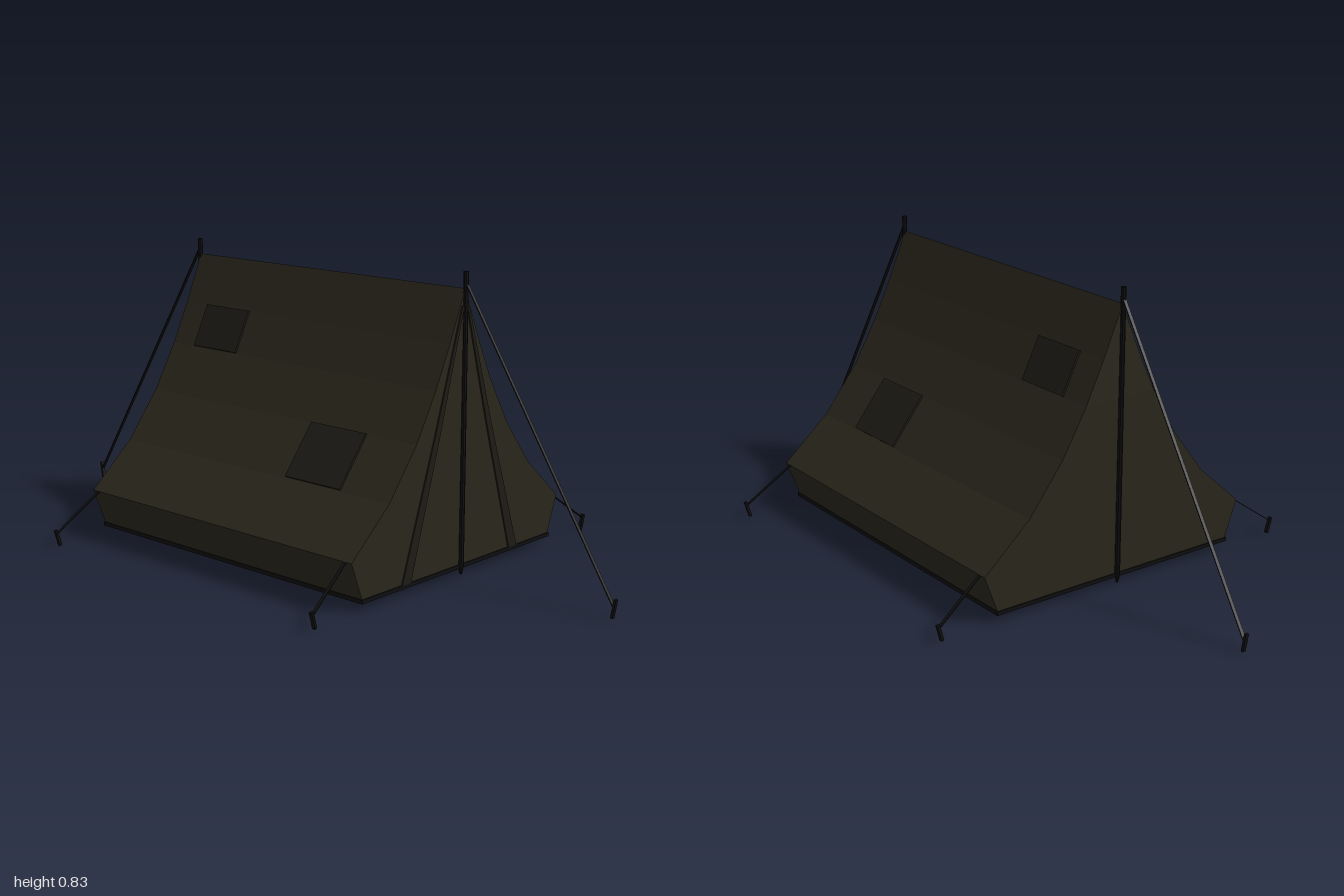
import * as THREE from 'three';

const paint = (color) => new THREE.MeshStandardMaterial({ color, flatShading: true, side: THREE.DoubleSide });
const canvas = paint(0x29261b);
const trim = paint(0x1d1b15);
const dark = paint(0x0e0d0f);

// Right half of the sagging tent section, ridge to floor
const PROFILE = [[0, 0.785], [0.06, 0.645], [0.115, 0.53], [0.19, 0.4], [0.295, 0.265], [0.437, 0.14], [0.395, 0.03]];
const HALF = 0.503;

function add(parent, name, geometry, material) {
  const mesh = new THREE.Mesh(geometry, material);
  mesh.name = name;
  parent.add(mesh);
  return mesh;
}

// Flat-sided bar running from a to b
function bar(parent, name, a, b, width, thick, material) {
  const from = new THREE.Vector3(...a), to = new THREE.Vector3(...b);
  const mesh = add(parent, name, new THREE.BoxGeometry(width, thick, from.distanceTo(to)), material);
  mesh.position.copy(from).lerp(to, 0.5);
  mesh.lookAt(to);
  return mesh;
}

// Window panel lying just proud of one sloping roof facet
function panel(parent, name, side, a, b, z0, z1) {
  const dx = b[0] - a[0], dy = b[1] - a[1], length = Math.hypot(dx, dy);
  const mesh = add(parent, name, new THREE.BoxGeometry(length, 0.006, z1 - z0), trim);
  mesh.position.set(side * (a[0] + b[0]) / 2, (a[1] + b[1]) / 2, (z0 + z1) / 2);
  mesh.rotation.z = side * Math.atan2(dy, dx);
}

export function createModel() {
  const tent = new THREE.Group();
  tent.name = 'tent';

  // Canvas body: roof, low side walls, end walls and floor in one prism
  const left = PROFILE.slice(1).reverse().map(([x, y]) => [-x, y]);
  const outline = new THREE.Shape([...left, ...PROFILE].map(([x, y]) => new THREE.Vector2(x, y)));
  const body = new THREE.ExtrudeGeometry(outline, { depth: 2 * HALF, bevelEnabled: false });
  body.translate(0, 0, -HALF);
  add(tent, 'canvas', body, canvas);

  // Groundsheet hem
  add(tent, 'groundsheet', new THREE.BoxGeometry(0.8, 0.011, 2 * HALF + 0.006), dark).position.y = 0.03;

  // Door seams: tapered strips fanning out from the ridge
  for (const side of [-1, 1]) {
    const strip = new THREE.Shape([[0.006, 0.74], [0.014, 0.74], [0.115, 0.42], [0.245, 0.035], [0.21, 0.035], [0.095, 0.42]]
      .map(([x, y]) => new THREE.Vector2(side * x, y)));
    const seam = new THREE.ExtrudeGeometry(strip, { depth: 0.004, bevelEnabled: false });
    add(tent, 'doorSeam', seam, trim).position.z = HALF;

    panel(tent, 'lowerWindow', side, [0.192, 0.402], [0.295, 0.27], 0.135, 0.333);
    panel(tent, 'upperWindow', side, [0.062, 0.648], [0.118, 0.533], -0.41, -0.237);
  }

  for (const end of [-1, 1]) {
    // Upright pole with pointed foot
    const pole = add(tent, 'pole', new THREE.CylinderGeometry(0.007, 0.008, 0.8, 8), dark);
    pole.position.set(0, 0.43, end * 0.505);
    const foot = add(tent, 'poleFoot', new THREE.CylinderGeometry(0.008, 0.003, 0.022, 8), dark);
    foot.position.set(0, 0.019, end * 0.505);

    // Main guy line and its peg
    bar(tent, 'guyLine', [0, 0.8, end * 0.507], [0, 0.035, end * 0.99], 0.01, 0.003, dark);
    bar(tent, 'peg', [0, 0.053, end * 0.997], [0, 0.002, end * 0.988], 0.01, 0.007, dark);

    // Corner guy lines and pegs
    for (const side of [-1, 1]) {
      bar(tent, 'cornerLine', [side * 0.435, 0.14, end * 0.48], [side * 0.577, 0.04, end * 0.499], 0.01, 0.002, dark);
      bar(tent, 'cornerPeg', [side * 0.58, 0.05, end * 0.5], [side * 0.567, 0.004, end * 0.499], 0.01, 0.008, dark);
    }
  }
  return tent;
}
